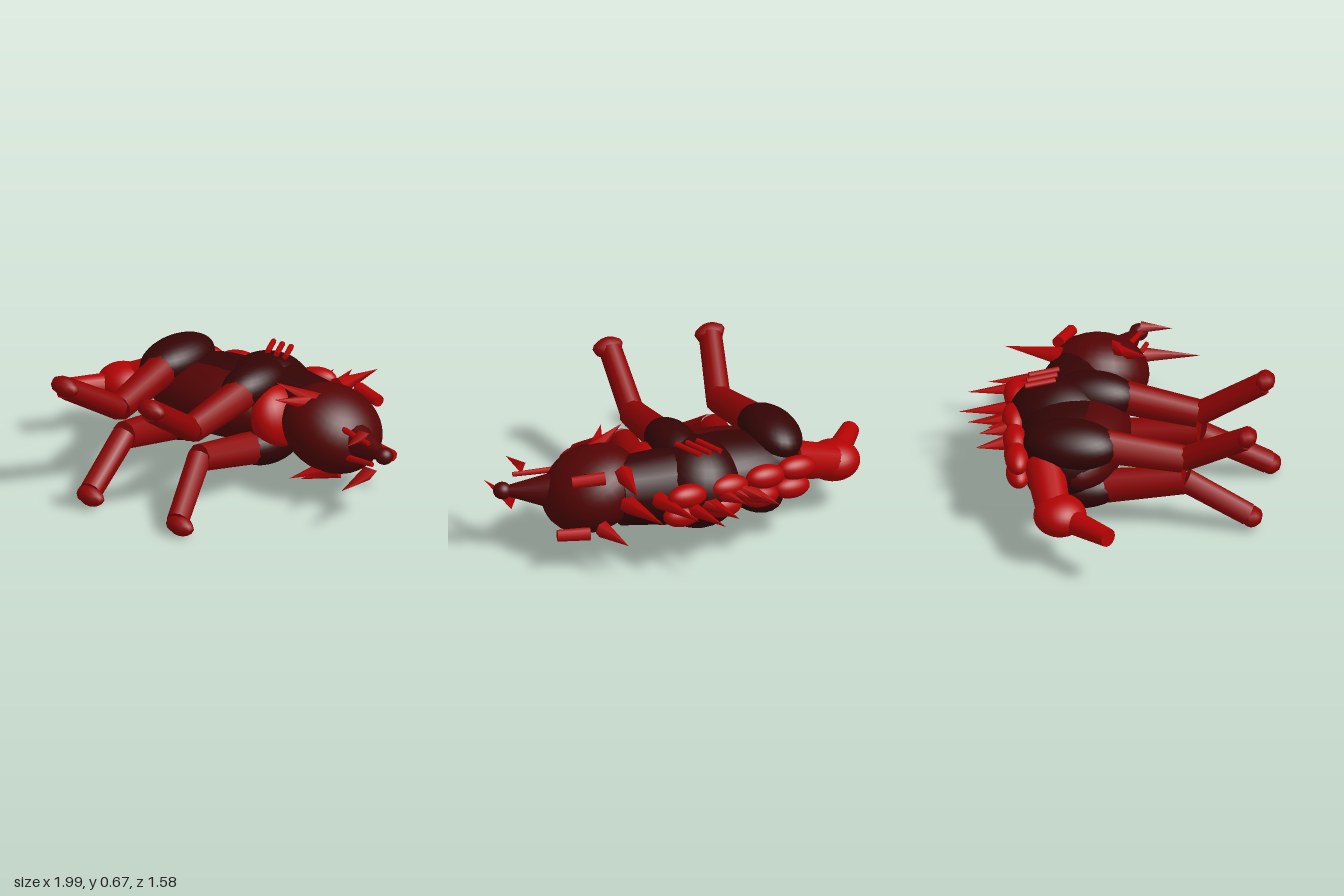
import * as THREE from 'three';

const mat = (name, color) => {
  const m = new THREE.MeshStandardMaterial({ color });
  m.name = name;
  return m;
};

export function createModel() {
  const root = new THREE.Group();
  root.name = 'spinyBeast';
  const red = mat('bright red', 0xb40303);
  const legRed = mat('deep red', 0x8e0303);
  const maroon = mat('maroon', 0x530404);
  const dark = mat('dark maroon', 0x340404);
  const MID = 0.34; // height of the beast's centre line; it lies on its side
  const UP = new THREE.Vector3(0, 1, 0);

  function blob(name, m, pos, radii, tilt = 0, turn = 0, seg = 28) {
    const mesh = new THREE.Mesh(new THREE.SphereGeometry(1, seg, Math.round(seg * 0.65)), m);
    mesh.name = name;
    mesh.position.set(...pos);
    mesh.scale.set(...radii);
    mesh.rotation.set(0, turn, tilt);
    root.add(mesh);
    return mesh;
  }

  // Tapered limb or spike from a to b
  function rod(name, m, a, b, r1, r2, sides = 12) {
    const p = new THREE.Vector3(...a), q = new THREE.Vector3(...b);
    const d = q.clone().sub(p);
    const mesh = new THREE.Mesh(new THREE.CylinderGeometry(r2, r1, d.length(), sides), m);
    mesh.name = name;
    mesh.position.copy(p).add(q).multiplyScalar(0.5);
    mesh.quaternion.setFromUnitVectors(UP, d.normalize());
    root.add(mesh);
    return mesh;
  }
  const spike = (name, a, b, r, sides = 6) => rod(name, red, a, b, r, 0, sides);

  // Body masses: dark back over a maroon belly
  blob('back', dark, [-0.13, MID, -0.21], [0.43, 0.187, 0.24]);
  blob('belly', maroon, [-0.13, MID, -0.12], [0.43, 0.17, 0.215]);
  blob('chest', dark, [0.02, MID, -0.275], [0.235, 0.228, 0.265], 0.15);
  blob('pelvis', dark, [-0.4, 0.36, -0.19], [0.17, 0.17, 0.2]);
  rod('neck', dark, [0.1, MID, -0.28], [0.42, MID, -0.25], 0.2, 0.17, 20);
  blob('throat', red, [0.22, MID, -0.11], [0.11, 0.16, 0.16], 0.25);

  // Haunches and shoulders
  blob('haunch', dark, [-0.43, 0.475, -0.145], [0.148, 0.115, 0.24], 0.2);
  blob('haunch', dark, [-0.33, 0.2, -0.145], [0.148, 0.11, 0.24], 0.2);
  blob('shoulder', dark, [0.075, 0.475, -0.115], [0.127, 0.115, 0.22], 0.2);
  blob('shoulder', dark, [0.17, 0.203, -0.115], [0.13, 0.115, 0.22], 0.2);

  // Legs: hip, knee, ankle, paw x
  const legs = [
    ['frontLeg', [0.09, 0.47, 0], [0.085, 0.41, 0.41], [0.08, 0.615, 0.73], 0.09],
    ['frontLeg', [0.17, 0.2, 0], [0.135, 0.27, 0.41], [0.25, 0.07, 0.73], 0.27],
    ['rearLeg', [-0.41, 0.47, 0], [-0.37, 0.41, 0.41], [-0.45, 0.6, 0.73], -0.45],
    ['rearLeg', [-0.34, 0.2, 0], [-0.335, 0.27, 0.41], [-0.3, 0.085, 0.72], -0.29],
  ];
  for (const [name, hip, knee, ankle, px] of legs) {
    rod(name + 'Thigh', legRed, hip, knee, 0.087, 0.071, 10);
    rod(name + 'Shin', legRed, knee, ankle, 0.062, 0.058, 10);
    blob(name + 'Paw', legRed, [px, ankle[1] + (ankle[1] > MID ? 0.012 : -0.018), 0.74], [0.08, 0.05, 0.053], -0.15, 0, 9);
  }

  // Tail
  rod('tailRoot', red, [-0.48, 0.37, -0.27], [-0.75, 0.27, -0.18], 0.1, 0.085, 16);
  blob('tailBulb', red, [-0.765, 0.26, -0.145], [0.135, 0.1, 0.132]);
  rod('tailTip', red, [-0.78, 0.255, -0.12], [-0.96, 0.268, 0.13], 0.066, 0.047, 14);

  // Head, snout and nose
  blob('head', maroon, [0.525, MID, -0.165], [0.26, 0.2, 0.25], -0.45);
  rod('snout', maroon, [0.7, 0.335, -0.12], [0.95, 0.34, -0.038], 0.095, 0.02, 14);
  blob('nose', maroon, [0.948, 0.34, -0.037], [0.046, 0.043, 0.046]);

  // Jaw rods and fangs
  rod('jawRod', red, [0.66, 0.415, -0.05], [0.88, 0.4, 0.0], 0.016, 0.012, 8);
  rod('jawRod', red, [0.66, 0.265, -0.05], [0.91, 0.3, 0.01], 0.018, 0.012, 8);
  spike('fang', [0.84, 0.435, -0.01], [0.858, 0.43, 0.15], 0.034, 3);
  spike('fang', [0.89, 0.25, 0.0], [0.924, 0.25, 0.28], 0.042, 3);

  // Brow bars and eyes
  rod('browBar', red, [0.53, 0.485, -0.37], [0.69, 0.47, -0.33], 0.034, 0.03, 8);
  rod('browBar', red, [0.61, 0.195, -0.37], [0.77, 0.195, -0.335], 0.034, 0.03, 8);
  blob('eye', dark, [0.6, 0.465, -0.295], [0.025, 0.025, 0.025]);
  blob('eye', red, [0.66, 0.17, -0.27], [0.032, 0.022, 0.022]);

  // Cheek tufts
  spike('cheekTuft', [0.5, 0.5, -0.09], [0.3, 0.58, 0.0], 0.045);
  spike('cheekTuft', [0.48, 0.49, -0.08], [0.37, 0.54, 0.105], 0.045);
  spike('cheekTuft', [0.62, 0.165, -0.09], [0.45, 0.1, 0.0], 0.045);
  spike('cheekTuft', [0.6, 0.19, -0.08], [0.46, 0.14, 0.1], 0.045);

  // Ears and crest
  spike('crest', [0.42, MID, -0.4], [0.34, MID, -0.69], 0.05);
  spike('ear', [0.42, 0.475, -0.34], [0.455, 0.485, -0.625], 0.05);
  spike('ear', [0.555, 0.225, -0.4], [0.485, 0.2, -0.58], 0.045);

  // Two rows of lumps along the spine
  for (const [x, z] of [[-0.47, -0.41], [-0.29, -0.45], [-0.08, -0.49], [0.15, -0.52]]) {
    blob('spineLump', red, [x, 0.39, z], [0.11, 0.06, 0.06], 0.1, 0.22);
    blob('spineLump', red, [x + 0.03, 0.29, z], [0.105, 0.058, 0.06], 0.1, 0.22);
  }

  // Spines of the mane: base x, base z, tip x, tip z
  const spines = [
    [-0.2, -0.48, -0.29, -0.65], [-0.13, -0.49, -0.215, -0.645], [-0.21, -0.47, -0.25, -0.58],
    [-0.03, -0.49, -0.105, -0.66], [0.03, -0.5, -0.045, -0.73], [-0.08, -0.48, -0.15, -0.61],
    [0.14, -0.5, 0.05, -0.79], [0.28, -0.46, 0.18, -0.77], [0.05, -0.5, 0.0, -0.63],
  ];
  spines.forEach(([x, z, tx, tz], i) => {
    const y = MID + (i % 2 ? 0.025 : -0.015);
    spike('maneSpine', [x, y, z], [tx, y, tz], 0.045);
  });

  // Three slashes on the upper flank
  for (let i = 0; i < 3; i++) {
    const x = -0.055 + i * 0.055;
    rod('flankSlash', red, [x, 0.565, -0.44], [x + 0.07, 0.572, -0.3], 0.014, 0.014, 8);
  }

  return root;
}
